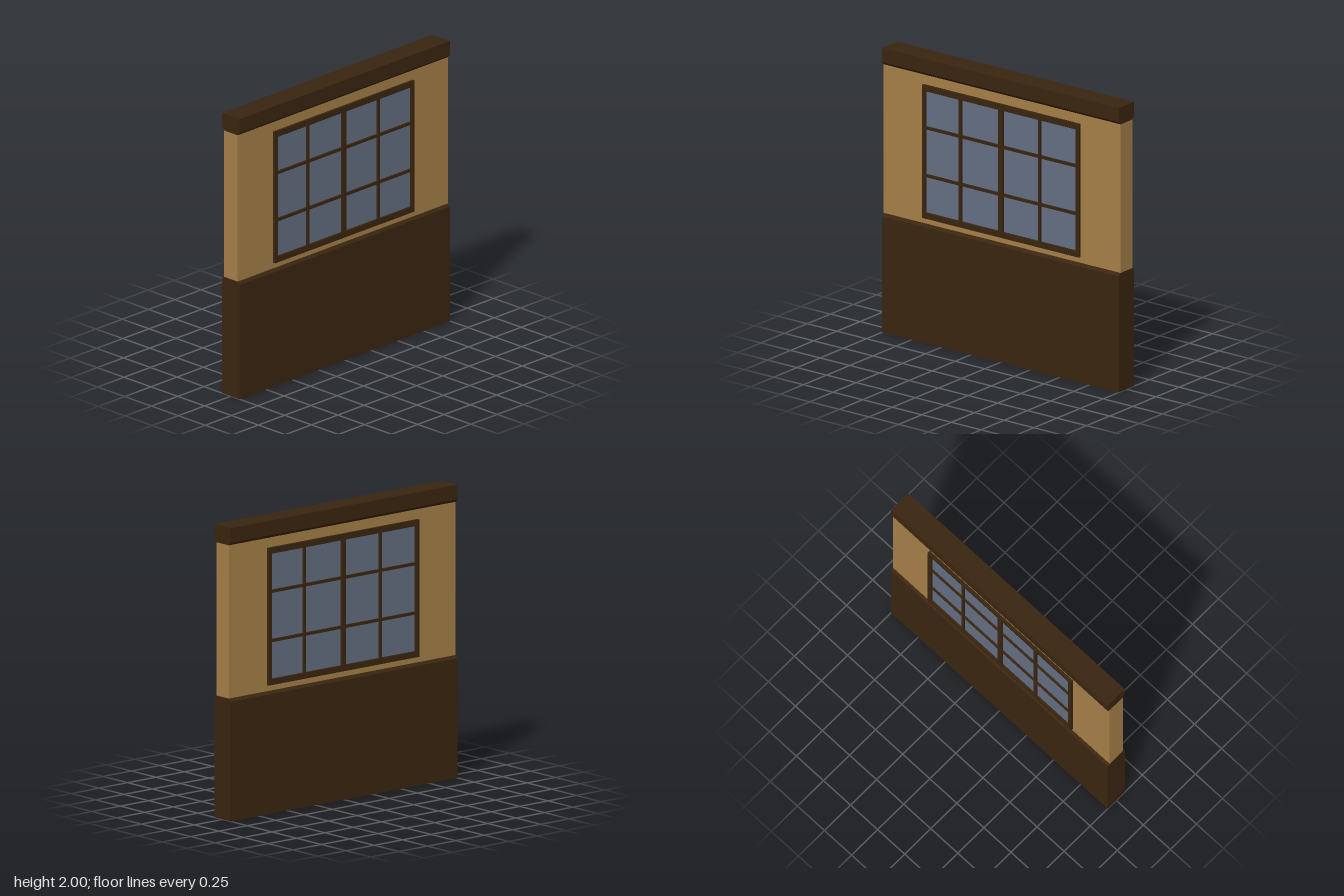
import * as THREE from 'three';

const material = (color) => new THREE.MeshStandardMaterial({ color });
const wood = material(0x3a2510);
const plaster = material(0xa68048);
const glass = material(0x646f82);

const DEPTH = 0.082; // half depth of the timber
const WALL = 0.063; // half depth of the plaster

function add(parent, name, geometry, mat) {
  const mesh = new THREE.Mesh(geometry, mat);
  mesh.name = name;
  parent.add(mesh);
  return mesh;
}

// Box given by its limits on each axis
function box(parent, name, x0, x1, y0, y1, z0, z1, mat) {
  const mesh = add(parent, name, new THREE.BoxGeometry(x1 - x0, y1 - y0, z1 - z0), mat);
  mesh.position.set((x0 + x1) / 2, (y0 + y1) / 2, (z0 + z1) / 2);
}

// Beam running along x, from a half profile of [z, y] points mirrored in z
function beam(parent, name, half) {
  const points = [...half, ...half.map(([z, y]) => [-z, y]).reverse()];
  const shape = new THREE.Shape(points.map(([z, y]) => new THREE.Vector2(z, y)));
  const geometry = new THREE.ExtrudeGeometry(shape, { depth: 2, bevelEnabled: false });
  geometry.translate(0, 0, -1).rotateY(Math.PI / 2);
  add(parent, name, geometry, wood);
}

function createWindow() {
  const group = new THREE.Group();
  const [x, y0, y1] = [0.663, 0.876, 1.813];
  const [ix, iy0, iy1] = [0.634, 0.917, 1.772];

  // Outer frame with a rectangular opening
  const rect = (Type, w, b, t) => new Type([[-w, b], [w, b], [w, t], [-w, t]].map((p) => new THREE.Vector2(...p)));
  const shape = rect(THREE.Shape, x, y0, y1);
  shape.holes.push(rect(THREE.Path, ix, iy0, iy1));
  const frame = new THREE.ExtrudeGeometry(shape, { depth: DEPTH - WALL, bevelEnabled: false });
  frame.translate(0, 0, WALL);
  add(group, 'windowFrame', frame, wood);

  // Glass slightly behind the bars
  const pane = add(group, 'glass', new THREE.PlaneGeometry(2 * ix, iy1 - iy0), glass);
  pane.position.set(0, (iy0 + iy1) / 2, 0.067);

  // Central post, glazing bars and rails
  for (const [cx, w] of [[-0.343, 0.02], [0, 0.038], [0.325, 0.02]]) {
    box(group, 'uprightBar', cx - w / 2, cx + w / 2, iy0, iy1, WALL, DEPTH - 0.001, wood);
  }
  for (const cy of [1.178, 1.514]) {
    box(group, 'crossBar', -ix, ix, cy - 0.01, cy + 0.01, WALL, DEPTH - 0.002, wood);
  }
  return group;
}

export function createModel() {
  const model = new THREE.Group();
  model.name = 'windowWall';

  // Plaster wall between the timber base and the top beam
  box(model, 'plasterWall', -1, 1, 0.835, 1.88, -WALL, WALL, plaster);
  beam(model, 'basePanel', [[DEPTH, 0], [DEPTH, 0.815], [WALL, 0.835]]);
  beam(model, 'topBeam', [[WALL, 1.88], [DEPTH, 1.9], [DEPTH, 2]]);

  // The same window on both faces, turned half round for the back
  ['frontWindow', 'backWindow'].forEach((name, i) => {
    const win = createWindow();
    win.name = name;
    win.rotation.y = i * Math.PI;
    model.add(win);
  });
  return model;
}
